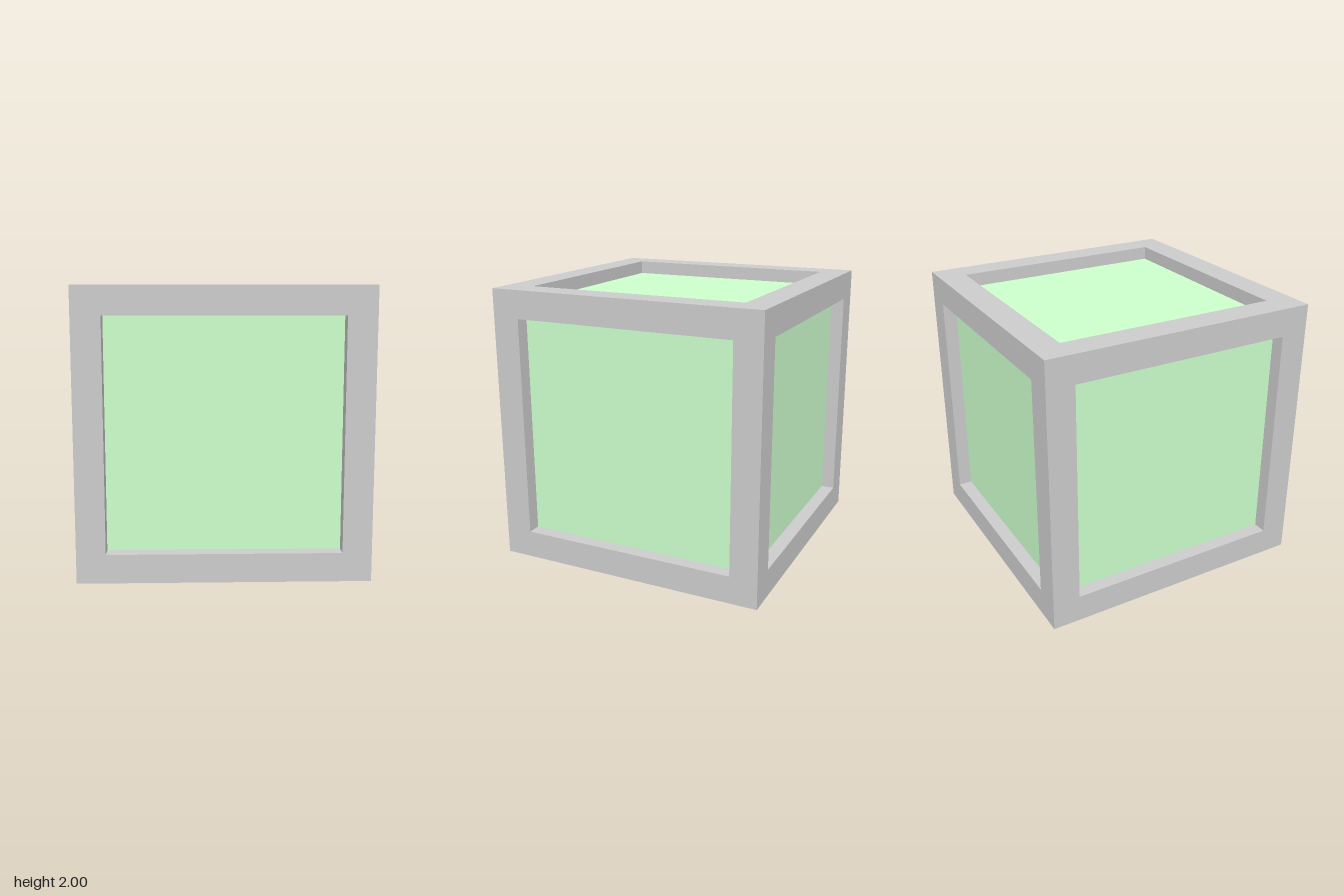
import * as THREE from 'three';

const SIZE = 2, BAR = 0.2, RECESS = 0.1;
const OPENING = SIZE - 2 * BAR;

export function createModel() {
  const group = new THREE.Group();
  const frameMaterial = new THREE.MeshStandardMaterial({ color: 0xcccccc });
  const panelMaterial = new THREE.MeshStandardMaterial({ color: 0xccffcc });

  const add = (name, geometry, material, x, y, z) => {
    const mesh = new THREE.Mesh(geometry, material);
    mesh.name = name;
    mesh.position.set(x, y, z);
    group.add(mesh);
  };

  // Square outline, centred on the origin
  const square = (Type, size) => {
    const h = size / 2;
    return new Type([[-h, -h], [h, -h], [h, h], [-h, h]].map(([x, y]) => new THREE.Vector2(x, y)));
  };

  // Square rings at the bottom and top
  const outline = square(THREE.Shape, SIZE);
  outline.holes.push(square(THREE.Path, OPENING));
  const ring = new THREE.ExtrudeGeometry(outline, { depth: BAR, bevelEnabled: false });
  ring.rotateX(-Math.PI / 2);
  add('bottomFrame', ring, frameMaterial, 0, 0, 0);
  add('topFrame', ring, frameMaterial, 0, SIZE - BAR, 0);

  // Four corner posts between the rings
  const post = new THREE.BoxGeometry(BAR, OPENING, BAR);
  const offset = (SIZE - BAR) / 2;
  for (const [sx, side] of [[1, 'Left'], [-1, 'Right']]) {
    for (const [sz, end] of [[1, 'front'], [-1, 'back']]) {
      add(`${end}${side}Post`, post, frameMaterial, sx * offset, SIZE / 2, sz * offset);
    }
  }

  // Coloured core whose six faces form the recessed panels
  const core = SIZE - 2 * RECESS;
  add('panelCore', new THREE.BoxGeometry(core, core, core), panelMaterial, 0, SIZE / 2, 0);

  return group;
}
